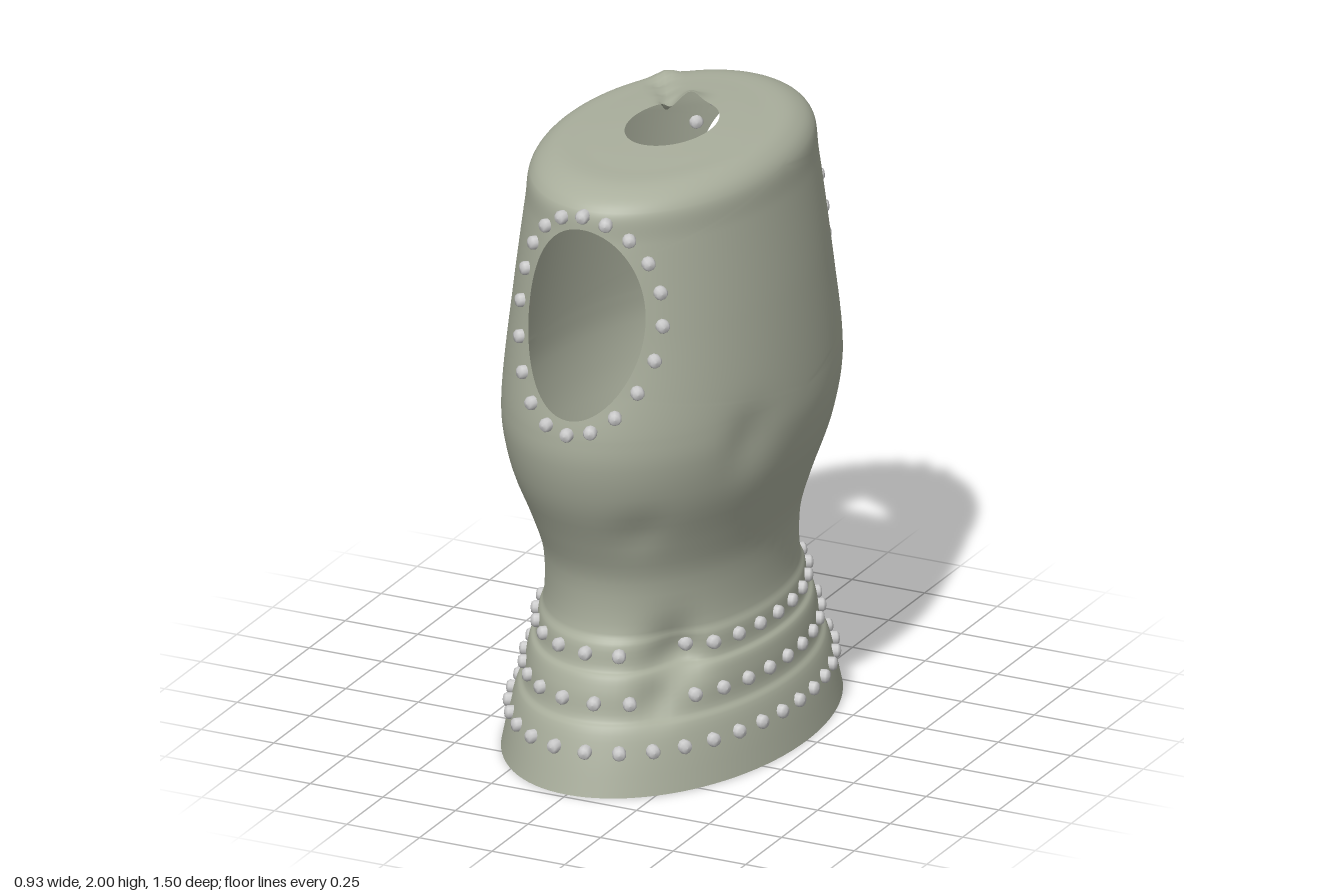
import * as THREE from 'three';
import { mergeGeometries, mergeVertices } from 'three/addons/utils/BufferGeometryUtils.js';

const HALF = 48;                       // columns per half turn
const HOLE = { y: 1.54, w: 0.2, h: 0.3 };

// Elliptical cross-sections, bottom to neck: half width, height, half depth
const SECTIONS = [
  [0.465, 0, 0.73], [0.442, 0.12, 0.695], [0.42, 0.2, 0.665], [0.402, 0.225, 0.642],
  [0.395, 0.3, 0.625], [0.385, 0.35, 0.605], [0.368, 0.37, 0.585], [0.362, 0.44, 0.57],
  [0.35, 0.475, 0.548], [0.35, 0.64, 0.548], [0.385, 0.78, 0.605], [0.437, 0.94, 0.685],
  [0.462, 1.08, 0.725], [0.463, 1.18, 0.728], [0.437, 1.5, 0.67], [0.4, 1.8, 0.625],
  [0.386, 1.9, 0.608], [0.335, 1.952, 0.52], [0.24, 1.965, 0.37], [0.13, 1.972, 0.2],
];
const profile = new THREE.CatmullRomCurve3(SECTIONS.map(s => new THREE.Vector3(...s)));
const LAST = SECTIONS.length - 1;
const V_LOW = 13 / LAST, V_HIGH = 16 / LAST;

// Battle damage: centre, radius, push
const DENTS = [
  [[0.24, 0.4, 0.45], 0.09, [-0.03, 0, -0.06]],
  [[0.22, 0.28, 0.54], 0.06, [-0.01, 0, -0.03]],
  [[0.17, 0.85, 0.57], 0.08, [0, 0, -0.015]],
  [[0.2, 1.36, -0.6], 0.06, [-0.01, 0, -0.055]],
  [[0.16, 1.28, -0.65], 0.05, [0, 0, -0.02]],
  [[0.44, 1.1, 0.3], 0.1, [-0.02, 0, 0]],
  [[-0.04, 1.97, -0.2], 0.04, [0, 0.028, -0.01]],
  [[-0.09, 1.97, -0.18], 0.03, [0, -0.03, 0.03]],
  [[-0.14, 1.97, -0.24], 0.03, [0, -0.02, 0]],
  [[-0.19, 1.97, -0.3], 0.03, [0, -0.015, 0]],
  [[-0.2, 1.96, -0.37], 0.04, [0, 0.02, 0]],
].map(([c, r, p]) => ({ c: new THREE.Vector3(...c), r, p: new THREE.Vector3(...p) }));

function surface(theta, v) {
  const s = profile.getPoint(v);
  const pos = new THREE.Vector3(s.x * Math.sin(theta), s.y, s.z * Math.cos(theta));
  const out = pos.clone();
  for (const d of DENTS) {
    out.addScaledVector(d.p, Math.exp(-pos.distanceToSquared(d.c) / (d.r * d.r)));
  }
  return out;
}

// Profile parameter at a given height
function vAt(y) {
  let a = 0, b = 1;
  for (let i = 0; i < 30; i++) {
    const m = (a + b) / 2;
    if (profile.getPoint(m).y < y) a = m; else b = m;
  }
  return (a + b) / 2;
}

function grid(nu, nv, fn) {
  const pos = [], index = [];
  for (let j = 0; j <= nv; j++) {
    for (let i = 0; i <= nu; i++) pos.push(...fn(i / nu, j / nv).toArray());
  }
  for (let j = 0; j < nv; j++) {
    for (let i = 0; i < nu; i++) {
      const a = j * (nu + 1) + i, b = a + 1, c = a + nu + 1, d = c + 1;
      index.push(a, b, d, a, d, c);
    }
  }
  const g = new THREE.BufferGeometry();
  g.setAttribute('position', new THREE.Float32BufferAttribute(pos, 3));
  g.setIndex(index);
  return g;
}

const band = (v0, v1, rows) => grid(HALF * 2, rows,
  (u, t) => surface(-Math.PI / 2 + u * Math.PI * 2, v0 + (v1 - v0) * t));

// Angle and height on an ellipse drawn around an arm opening
function openingPoint(a, w, h) {
  const y = HOLE.y + h * Math.sin(a), v = vAt(y);
  return { theta: Math.asin(w * Math.cos(a) / profile.getPoint(v).x), y, v };
}

// Half of the chest: rings run from a rectangular border in to the opening
function holedHalf(turn) {
  const y0 = profile.getPoint(V_LOW).y, y1 = profile.getPoint(V_HIGH).y;
  return grid(HALF * 4, 14, (u, t) => {
    const side = Math.floor(u * 4 + 1e-6) % 4;
    const k = ((u * 4 + 1e-6) % 1 - 1e-6) * 2 - 1;
    const [qx, qy] = [[k, -1], [1, k], [-k, 1], [-1, -k]][side];
    const e = openingPoint(Math.atan2(qy, qx), HOLE.w, HOLE.h);
    const theta = THREE.MathUtils.lerp(qx * Math.PI / 2, e.theta, t);
    const y = THREE.MathUtils.lerp(y0 + (y1 - y0) * (qy + 1) / 2, e.y, t);
    return surface(theta + turn, vAt(y));
  });
}

// Round-ended rivet that passes through the plate, pointing along +z
const rivetShape = new THREE.LatheGeometry([
  [0, -0.02], [0.016, -0.018], [0.022, -0.01], [0.022, 0.014], [0.016, 0.022], [0, 0.025],
].map(p => new THREE.Vector2(...p)), 10).rotateX(Math.PI / 2);

function rivetAt(theta, v) {
  const s = profile.getPoint(v);
  const m = new THREE.Object3D();
  const p = surface(theta, v);
  m.position.copy(p);
  m.lookAt(p.x + Math.sin(theta) / s.x, p.y, p.z + Math.cos(theta) / s.z);
  m.updateMatrix();
  return rivetShape.clone().applyMatrix4(m.matrix);
}

export function createModel() {
  const model = new THREE.Group();
  const plate = new THREE.MeshStandardMaterial({ color: 0xa9ae9c, side: THREE.DoubleSide });
  const metal = new THREE.MeshStandardMaterial({ color: 0xcccccc });
  const add = (name, geometry, material) => {
    const mesh = new THREE.Mesh(geometry, material);
    mesh.name = name;
    model.add(mesh);
  };

  // Torso shell: flared waist, chest with two openings, shoulder cap with neck hole
  const shell = mergeVertices(mergeGeometries([
    band(0, V_LOW, 52), holedHalf(0), holedHalf(Math.PI), band(V_HIGH, 1, 18),
  ]), 1e-4);
  shell.computeVertexNormals();
  add('torsoShell', shell, plate);

  // Three rows of rivets evenly spaced around the waist
  [[0.135, 34], [0.275, 30], [0.415, 28]].forEach(([y, count], row) => {
    const v = vAt(y), s = profile.getPoint(v);
    const outline = new THREE.EllipseCurve(0, 0, s.x, s.z);
    outline.arcLengthDivisions = 400;
    const rivets = [];
    for (let i = 0; i < count; i++) {
      const p = outline.getPointAt((i + 0.1) / count);
      const theta = Math.atan2(p.x / s.x, p.y / s.z);
      const lost = row > 0 && p.y > 0 && p.x > 0.17 && p.x < 0.25;
      if (!lost) rivets.push(rivetAt(theta, v));
    }
    add('waistRivets' + (row + 1), mergeGeometries(rivets), metal);
  });

  // Rivets framing the front and back openings
  [['frontOpeningRivets', 0], ['backOpeningRivets', Math.PI]].forEach(([name, turn]) => {
    const rivets = [];
    for (let i = 0; i < 20; i++) {
      const e = openingPoint(Math.PI / 2 + i * Math.PI / 10, 0.24, 0.343);
      rivets.push(rivetAt(e.theta + turn, e.v));
    }
    add(name, mergeGeometries(rivets), metal);
  });

  return model;
}
